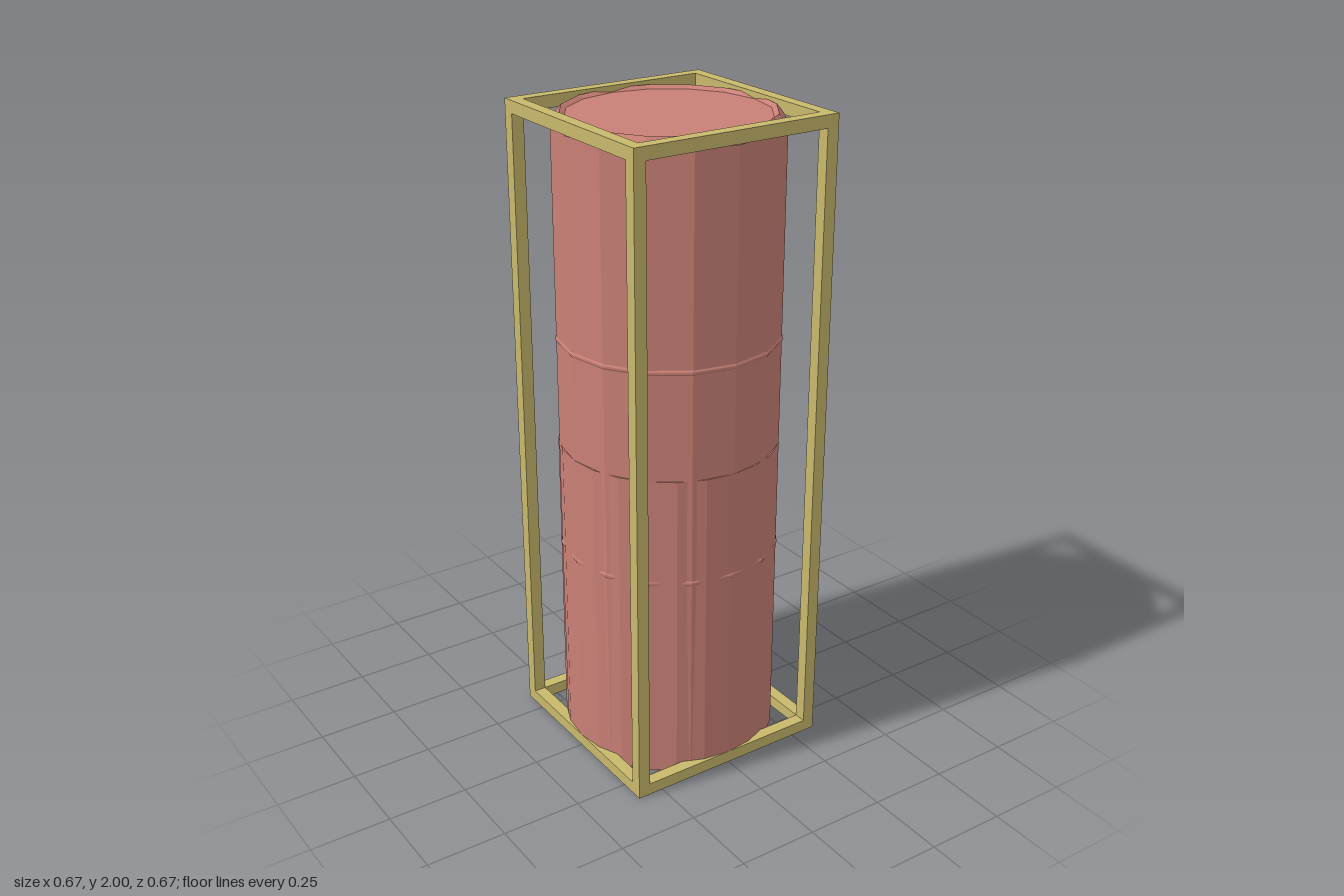
import * as THREE from 'three';

const R = 1 / 3;      // outer radius, also half the frame width
const H = 2;
const BAR = 0.038;    // frame bar thickness

const clay = new THREE.MeshStandardMaterial({ color: 0xc98076 });
clay.name = 'clay pink';
const straw = new THREE.MeshStandardMaterial({ color: 0xc9b96c });
straw.name = 'straw yellow';

// Faceted solid of revolution; the profile runs from bottom centre to top centre
function facetedLathe(name, profile, sides) {
  const pts = profile.map(([r, y]) => new THREE.Vector2(r, y));
  const geo = new THREE.LatheGeometry(pts, sides).toNonIndexed();
  geo.computeVertexNormals();
  const mesh = new THREE.Mesh(geo, clay);
  mesh.name = name;
  return mesh;
}

function bar(name, w, h, d, x, y, z) {
  const mesh = new THREE.Mesh(new THREE.BoxGeometry(w, h, d), straw);
  mesh.name = name;
  mesh.position.set(x, y, z);
  return mesh;
}

export function createModel() {
  const model = new THREE.Group();
  model.name = 'framedColumn';

  // Sixteen-sided column with two thin ridges and a bevelled, recessed top
  const ridge = (y) => [[R, y - 0.008], [R + 0.003, y - 0.003], [R + 0.003, y + 0.003], [R, y + 0.008]];
  model.add(facetedLathe('column', [
    [0, 0.01], [R - 0.002, 0.01],
    ...ridge(H / 3), ...ridge(2 * H / 3),
    [R, 1.96], [0.308, 1.99], [0.294, 1.98], [0, 1.98],
  ], 16));

  // Finer sleeve around the lower half
  model.add(facetedLathe('lowerSleeve', [[0, 0.006], [R, 0.006], [R, 1], [0, 1]], 24));

  // Open box frame: four posts, then rails at the bottom and top
  const frame = new THREE.Group();
  frame.name = 'frame';
  const c = R - BAR / 2;
  const inner = 2 * (R - BAR);
  for (const s of [-1, 1]) {
    for (const t of [-1, 1]) {
      frame.add(bar('post', BAR, H, BAR, s * c, H / 2, t * c));
      const y = t < 0 ? BAR / 2 : H - BAR / 2;
      frame.add(bar('sideRail', BAR, BAR, inner, s * c, y, 0));
      frame.add(bar('crossRail', inner, BAR, BAR, 0, y, s * c));
    }
  }
  model.add(frame);
  return model;
}
